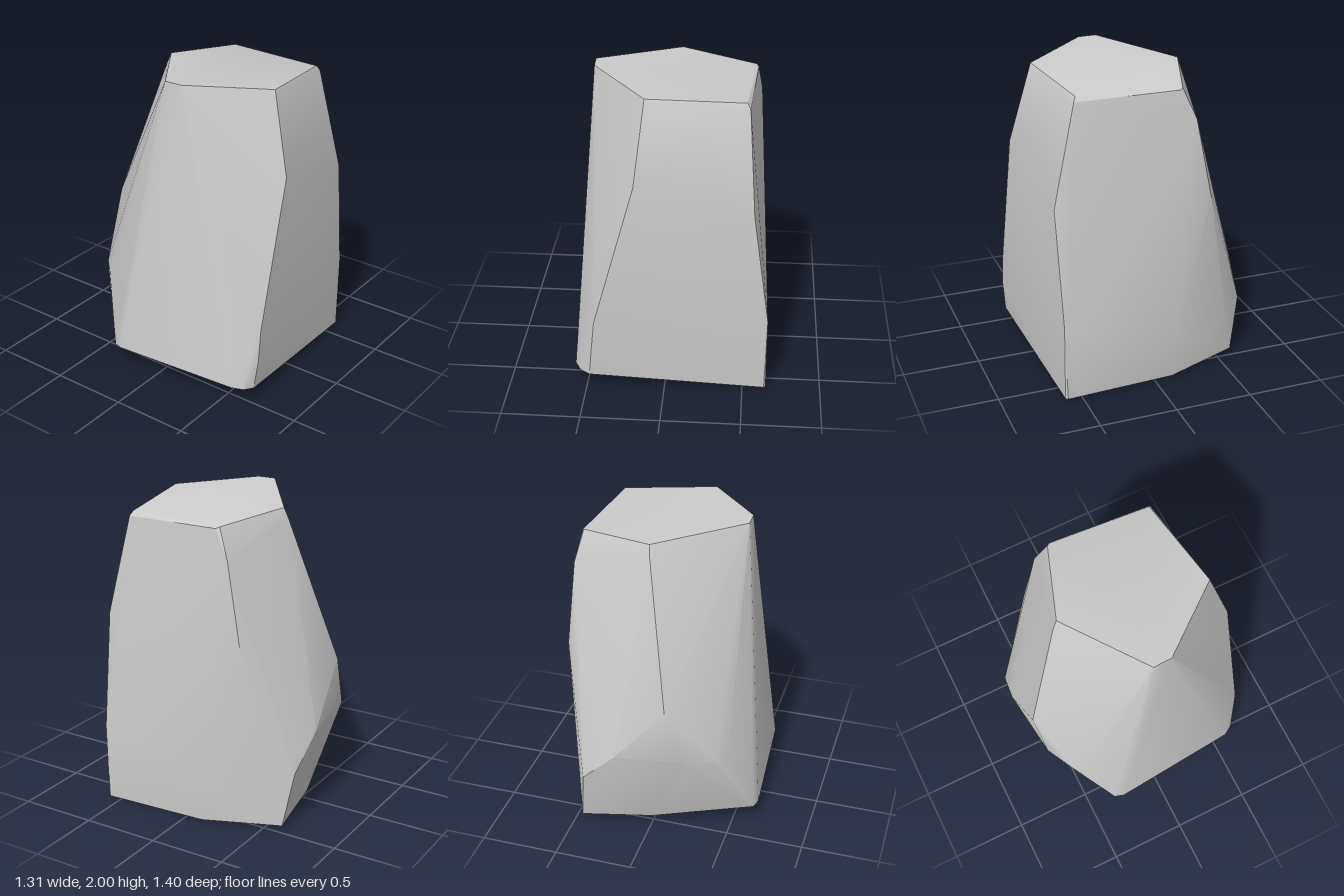
import * as THREE from 'three';
import { ConvexGeometry } from 'three/addons/geometries/ConvexGeometry.js';
import { toCreasedNormals } from 'three/addons/utils/BufferGeometryUtils.js';

// Corners of the stone, listed ring by ring from top to bottom
const TOP = [
  [-0.47, 2, 0], [-0.465, 2, 0.12], [-0.12, 1.965, 0.55], [0.48, 1.92, 0.46],
  [0.525, 1.915, -0.2], [0.05, 1.955, -0.365],
];
const SHOULDER = [
  [0.5, 1.89, 0.475], [0.54, 1.905, -0.18], [0.568, 1.72, -0.28], [0.04, 1.88, -0.395],
];
const MIDDLE = [
  [-0.18, 1.45, 0.685], [0.545, 1.25, 0.622], [0.592, 1.2, -0.38], [-0.13, 0.97, -0.67],
];
const LOWER = [
  [-0.44, 0.5, 0.697], [0.65, 0.5, 0.605], [0.645, 0.3, -0.14], [0.42, 0.38, -0.672],
  [0.2, 0.6, -0.7], [-0.26, 0.62, -0.645], [-0.43, 0.59, -0.55], [-0.49, 0.57, -0.485],
];
const FOOT = [
  [-0.46, 0.3, 0.698], [-0.48, 0.1, 0.68], [-0.54, 0.105, 0.645], [-0.58, 0.115, 0.58],
  [-0.655, 0.125, -0.27], [-0.635, 0.12, -0.33], [0, 0.06, -0.54], [0.46, 0.025, -0.61],
  [0.63, 0.01, -0.12], [0.652, 0, 0.59], [0.64, 0, 0.605],
];

export function createModel() {
  const group = new THREE.Group();
  group.name = 'rock';

  // Convex faceted stone, softened across its shallow edges
  const corners = [...TOP, ...SHOULDER, ...MIDDLE, ...LOWER, ...FOOT]
    .map((p) => new THREE.Vector3(...p));
  const geometry = toCreasedNormals(new ConvexGeometry(corners), THREE.MathUtils.degToRad(28));

  const stone = new THREE.Mesh(geometry, new THREE.MeshStandardMaterial({ color: 0xcccccc }));
  stone.name = 'stone';
  group.add(stone);
  return group;
}
